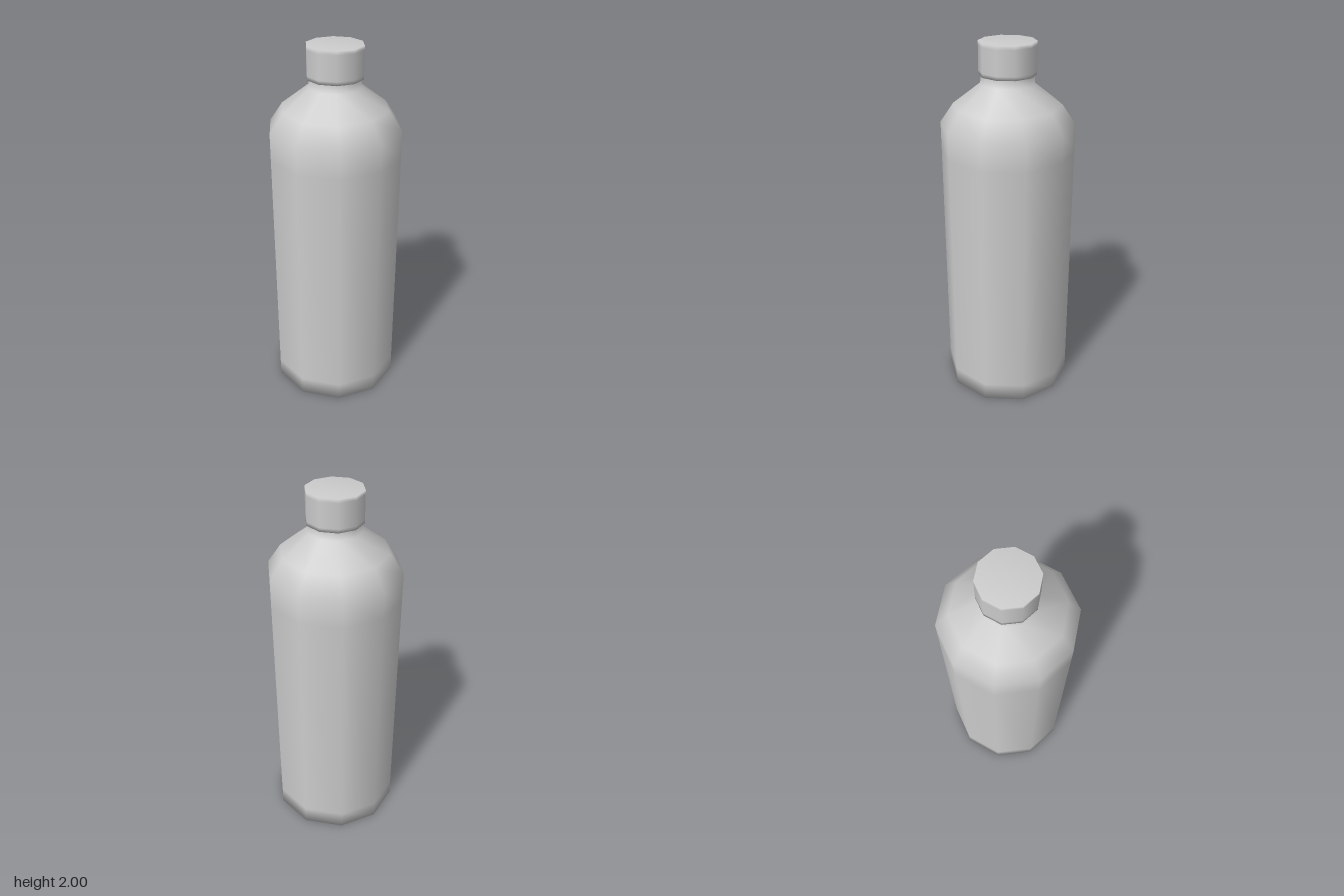
import * as THREE from 'three';

const SIDES = 10;
const material = new THREE.MeshStandardMaterial({ color: 0xcccccc });

// Ten-sided smooth turning with a corner on the +x axis; profile runs bottom to top
function turned(name, profile) {
  const points = profile.map(([r, y]) => new THREE.Vector2(r, y));
  const mesh = new THREE.Mesh(new THREE.LatheGeometry(points, SIDES, Math.PI / 2), material);
  mesh.name = name;
  return mesh;
}

export function createModel() {
  const bottle = new THREE.Group();
  bottle.name = 'bottle';

  // Flat base, straight wall, two-step shoulder and short neck
  bottle.add(turned('body', [
    [0, 0], [0.358, 0], [0.358, 0.1], [0.358, 1.42], [0.358, 1.57],
    [0.288, 1.673], [0.142, 1.785], [0.139, 1.835],
  ]));

  // Screw cap, slightly wider than the neck
  bottle.add(turned('cap', [
    [0, 1.83], [0.151, 1.83], [0.151, 1.85], [0.151, 1.98], [0.151, 2], [0, 2],
  ]));

  return bottle;
}
